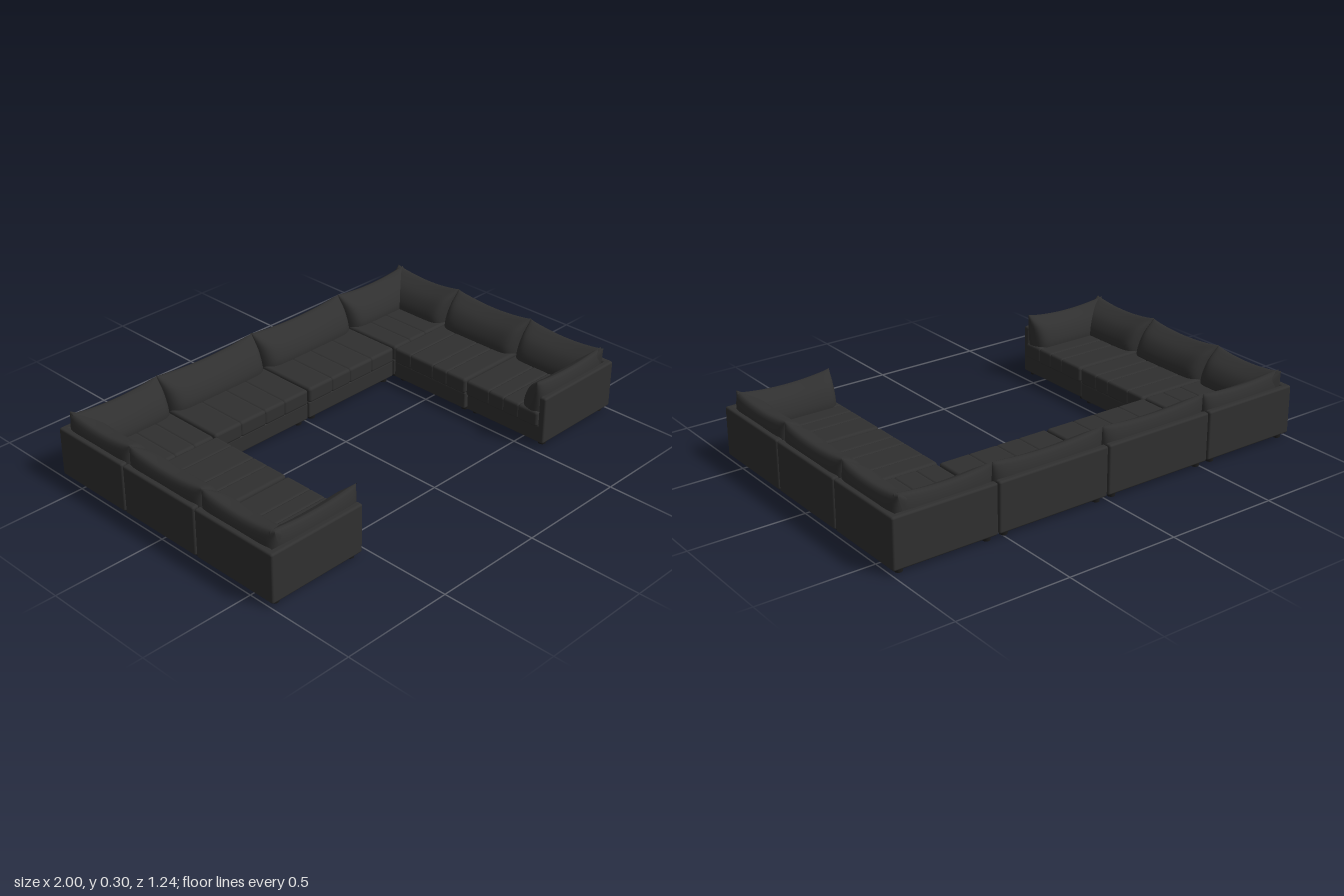
import * as THREE from 'three';
import { RoundedBoxGeometry } from 'three/addons/geometries/RoundedBoxGeometry.js';

const upholstery = new THREE.MeshStandardMaterial({ color: 0x303030 });
upholstery.name = 'charcoal upholstery';
const footBlack = new THREE.MeshStandardMaterial({ color: 0x1c1c1c });
footBlack.name = 'black feet';

// Rounded block given by its extents on each axis
function block(name, [xa, xb], [ya, yb], [za, zb], radius) {
  const geo = new RoundedBoxGeometry(Math.abs(xb - xa), yb - ya, Math.abs(zb - za), 3, radius);
  const mesh = new THREE.Mesh(geo, upholstery);
  mesh.name = name;
  mesh.position.set((xa + xb) / 2, (ya + yb) / 2, (za + zb) / 2);
  return mesh;
}

// Soft cushion along local x: its back is at z = 0, it is puffed towards +z,
// pinched at both ends and sagging between its two top corners
function cushionGeometry(width, reach) {
  const profile = [
    [0.03, 0.13], [0.02, 0.185], [0.021, 0.24], [0.03, 0.28], [0.043, 0.302],
    [reach * 0.5, 0.288], [reach * 0.77, 0.258], [reach * 0.95, 0.21], [reach, 0.17], [reach * 0.92, 0.13],
  ].map(([d, y]) => new THREE.Vector3(0, y, d));
  const around = 40, along = 32;
  const loop = new THREE.CatmullRomCurve3(profile, true).getSpacedPoints(around).slice(0, around);
  const positions = [], index = [];
  for (let i = 0; i <= along; i++) {
    const u = -Math.cos((i / along) * Math.PI);
    const puff = Math.sqrt(Math.max(0, 1 - u ** 10));
    for (const p of loop) {
      const rise = (p.y - 0.13) / 0.17;
      const mid = THREE.MathUtils.lerp(reach * 0.5, 0.043, rise);
      const y = p.y - 0.018 * (1 - u * u) * Math.max(0, rise);
      positions.push((u * width) / 2, y, mid + (p.z - mid) * puff);
    }
  }
  for (let i = 0; i < along; i++) {
    for (let j = 0; j < around; j++) {
      const a = i * around + j, b = i * around + ((j + 1) % around);
      index.push(a, b, a + around, b, b + around, a + around);
    }
  }
  const geo = new THREE.BufferGeometry();
  geo.setAttribute('position', new THREE.Float32BufferAttribute(positions, 3));
  geo.setIndex(index);
  geo.computeVertexNormals();
  return geo;
}

function cushion(name, width, reach, x, z, turn) {
  const mesh = new THREE.Mesh(cushionGeometry(width, reach), upholstery);
  mesh.name = name;
  mesh.position.set(x, 0, z);
  mesh.rotation.y = turn;
  return mesh;
}

// Channel-tufted seat: overlapping rounded strips, split at the given stops
function seat(stops, cross, alongX) {
  const group = new THREE.Group();
  group.name = 'seat';
  for (let i = 0; i + 1 < stops.length; i++) {
    const first = i === 0, last = i + 2 === stops.length;
    const lo = Math.min(stops[i], stops[i + 1]), hi = Math.max(stops[i], stops[i + 1]);
    const span = [lo - (first ? 0 : 0.004), hi + (last ? 0 : 0.004)];
    group.add(alongX
      ? block('seatChannel', span, [0.092, 0.164], cross, 0.013)
      : block('seatChannel', cross, [0.092, 0.164], span, 0.013));
  }
  return group;
}

// Plinth with four short feet
function plinth([xa, xb], [za, zb]) {
  const group = new THREE.Group();
  group.name = 'base';
  group.add(block('plinth', [xa, xb], [0.018, 0.098], [za, zb], 0.008));
  const foot = new THREE.CylinderGeometry(0.018, 0.016, 0.022, 20);
  for (const x of [xa + 0.037, xb - 0.037]) {
    for (const z of [za + 0.027, zb - 0.027]) {
      const mesh = new THREE.Mesh(foot, footBlack);
      mesh.name = 'foot';
      mesh.position.set(x, 0.011, z);
      group.add(mesh);
    }
  }
  return group;
}

export function createModel() {
  const sofa = new THREE.Group();
  sofa.name = 'sectionalSofa';
  const WALL = [0.018, 0.235];

  for (const s of [-1, 1]) {
    const range = (a, b) => (s > 0 ? [a, b] : [-b, -a]);
    const stops = (list) => list.map((v) => v * s).sort((a, b) => a - b);
    const turn = (-s * Math.PI) / 2;
    const side = s > 0 ? 'left' : 'right';
    const unit = (name) => {
      const group = new THREE.Group();
      group.name = side + name;
      sofa.add(group);
      return group;
    };

    // Middle unit of the back row
    unit('MiddleUnit').add(
      plinth(range(0.003, 0.527), [-0.618, -0.224]),
      block('backPanel', range(0.003, 0.527), WALL, [-0.62, -0.588], 0.009),
      seat(stops([0.004, 0.14, 0.25, 0.385, 0.526]), [-0.59, -0.22], true),
      cushion('backCushion', 0.53, 0.158, s * 0.265, -0.62, 0),
    );

    // Corner unit with two walls and two cushions
    unit('CornerUnit').add(
      plinth(range(0.533, 0.998), [-0.618, -0.224]),
      block('backPanel', range(0.533, 1), WALL, [-0.62, -0.588], 0.009),
      block('sidePanel', range(0.968, 1), WALL, [-0.62, -0.224], 0.009),
      seat(stops([0.534, 0.635, 0.735, 0.97]), [-0.59, -0.22], true),
      cushion('backCushion', 0.432, 0.158, s * 0.746, -0.62, 0),
      cushion('sideCushion', 0.374, 0.178, s, -0.409, turn),
    );

    // Side unit
    unit('SideUnit').add(
      plinth(range(0.53, 0.998), [-0.218, 0.196]),
      block('sidePanel', range(0.968, 1), WALL, [-0.218, 0.196], 0.009),
      seat([-0.217, -0.12, 0.01, 0.09, 0.195], range(0.525, 0.97), false),
      cushion('sideCushion', 0.42, 0.178, s, -0.011, turn),
    );

    // End unit with an arm facing the open end
    unit('EndUnit').add(
      plinth(range(0.538, 0.998), [0.202, 0.616]),
      block('sidePanel', range(0.968, 1), WALL, [0.202, 0.62], 0.009),
      block('armPanel', range(0.538, 1), WALL, [0.588, 0.62], 0.009),
      seat([0.203, 0.33, 0.41, 0.49, 0.59], range(0.525, 0.97), false),
      cushion('sideCushion', 0.394, 0.178, s, 0.397, turn),
      cushion('armCushion', 0.434, 0.135, s * 0.747, 0.62, Math.PI),
    );
  }
  return sofa;
}
